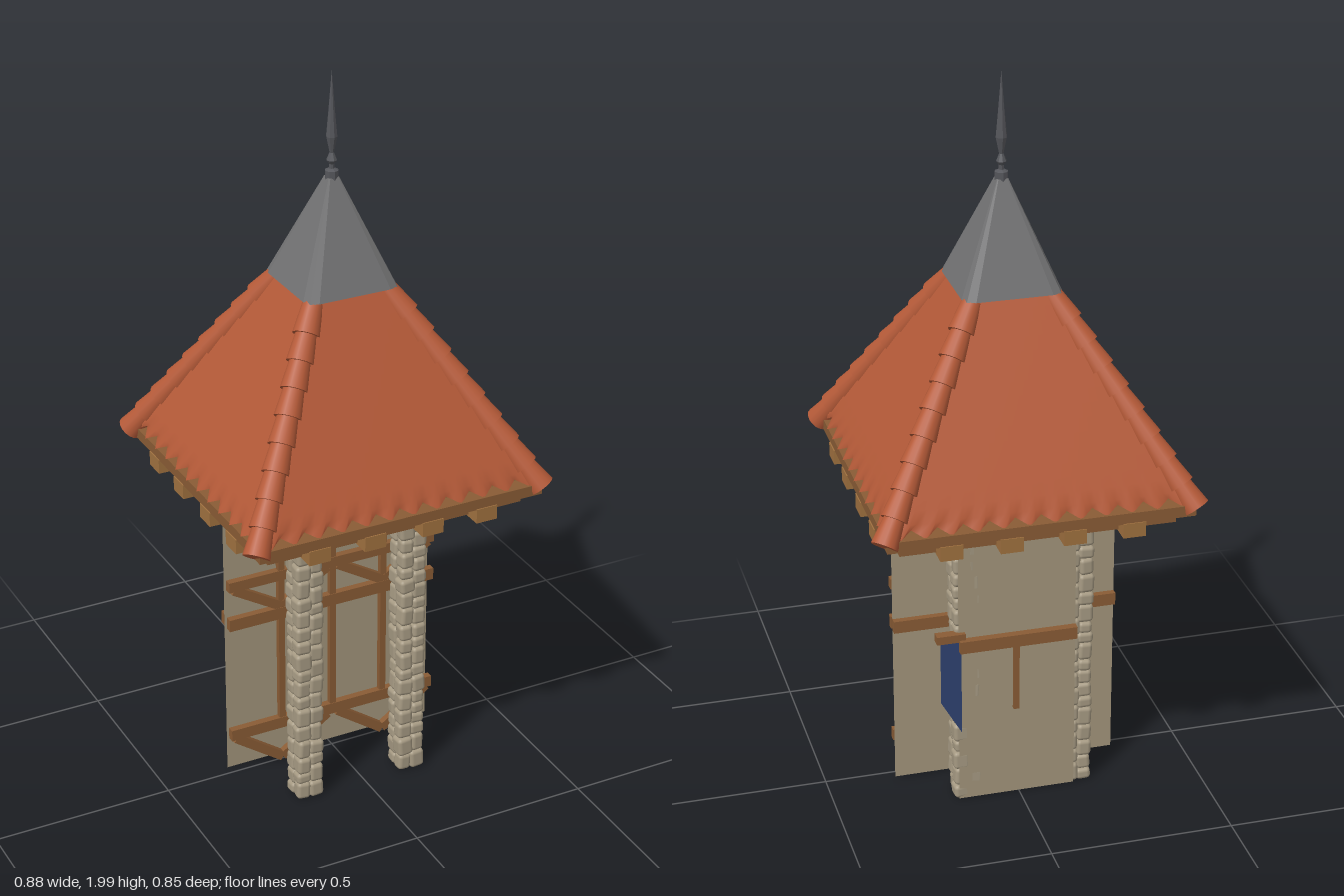
import * as THREE from 'three';
import { mergeGeometries } from 'three/addons/utils/BufferGeometryUtils.js';
import { RoundedBoxGeometry } from 'three/addons/geometries/RoundedBoxGeometry.js';

const material = (name, color, side = THREE.FrontSide) => {
  const m = new THREE.MeshStandardMaterial({ color, side });
  m.name = name;
  return m;
};
const lerp = THREE.MathUtils.lerp;

export function createModel() {
  const model = new THREE.Group();
  model.name = 'timberTower';
  const tile = material('terracotta', 0xb55a38, THREE.DoubleSide);
  const plaster = material('plaster', 0xa3967c, THREE.DoubleSide);
  const stone = material('stone', 0xa69a83);
  const wood = material('timber', 0x8a5c35);
  const paleWood = material('paleTimber', 0xa0713f);
  const slate = material('slate', 0x727273);
  const iron = material('iron', 0x55565b);
  const cloth = material('blueCloth', 0x2f4272, THREE.DoubleSide);

  let seed = 7;
  const rand = () => (seed = (seed * 16807) % 2147483647) / 2147483647;
  const add = (name, geo, mat, parent = model) => {
    const mesh = new THREE.Mesh(geo, mat);
    mesh.name = name;
    parent.add(mesh);
    return mesh;
  };
  const group = (name) => {
    const g = new THREE.Group();
    g.name = name;
    model.add(g);
    return g;
  };
  // Box given by its lower and upper corners
  const box = (name, x0, x1, y0, y1, z0, z1, mat, parent) => {
    const mesh = add(name, new THREE.BoxGeometry(x1 - x0, y1 - y0, z1 - z0), mat, parent);
    mesh.position.set((x0 + x1) / 2, (y0 + y1) / 2, (z0 + z1) / 2);
    return mesh;
  };

  // Thin plaster walls: wide middle wall and narrower back wall
  const wall = (name, x0, x1, z) =>
    add(name, new THREE.PlaneGeometry(x1 - x0, 0.9), plaster).position.set((x0 + x1) / 2, 0.45, z);
  wall('middleWall', -0.31, 0.31, -0.026);
  wall('backWall', -0.155, 0.167, -0.18);

  // Half-timbering standing just in front of the middle wall
  const frame = group('wallTimbers');
  for (const [name, y0, y1] of [['upperRail', 0.577, 0.607], ['middleRail', 0.457, 0.492], ['lowerRail', 0.107, 0.14]]) {
    box(name, -0.31, 0.31, y0, y1, -0.01, 0.01, wood, frame);
  }
  for (const x of [-0.155, 0, 0.155]) {
    box('post', x - 0.009, x + 0.009, 0.14, 0.88, -0.008, 0.008, wood, frame);
  }
  for (const [low, high] of [[0.495, 0.58], [0.01, 0.11]]) {
    for (const side of [-1, 1]) {
      for (const outer of [0.295, 0.015]) {
        const dx = (0.155 - outer) * side, dy = low - high;
        const brace = add('brace', new THREE.BoxGeometry(Math.hypot(dx, dy), 0.026, 0.018), wood, frame);
        brace.position.set((outer + 0.155) / 2 * side, (low + high) / 2, 0);
        brace.rotation.z = Math.atan(dy / dx);
      }
    }
  }
  // Rails on the rear faces of both walls
  box('middleWallRearRail', -0.31, 0.31, 0.46, 0.495, -0.045, -0.027, wood, frame);
  box('backRail', -0.155, 0.167, 0.462, 0.497, -0.203, -0.181, wood);

  // Hanging post, bracket and banner behind the back wall
  box('backPost', 0.002, 0.018, 0.265, 0.465, -0.192, -0.181, wood);
  box('bannerBracket', 0.15, 0.228, 0.492, 0.515, -0.192, -0.165, wood);
  const banner = new THREE.Shape([[0.16, 0.495], [0.217, 0.495], [0.217, 0.31], [0.16, 0.21]]
    .map(p => new THREE.Vector2(...p)));
  add('banner', new THREE.ShapeGeometry(banner), cloth).position.z = -0.184;

  // Four columns of piled stones
  for (const cx of [-0.168, 0.14]) {
    for (const cz of [0.172, -0.14]) {
      const stones = [];
      for (const sx of [-1, 1]) {
        for (const sz of [-1, 1]) {
          let y = 0;
          while (y < 0.85) {
            const h = Math.min(0.032 + rand() * 0.024, 0.872 - y);
            const w = 0.036 + rand() * 0.01, d = 0.036 + rand() * 0.01;
            const g = new RoundedBoxGeometry(w, h, d, 2, Math.min(0.011, h * 0.4));
            g.rotateZ((rand() - 0.5) * 0.16);
            g.rotateY((rand() - 0.5) * 0.25);
            g.translate(cx + sx * 0.018, y + h / 2, cz + sz * 0.018);
            stones.push(g);
            y += h;
          }
        }
      }
      add('stoneColumn', mergeGeometries(stones), stone);
    }
  }

  // Eave boards, plate ring and projecting joist ends
  const eaves = group('eaves');
  box('eaveDeck', -0.36, 0.36, 0.9, 0.95, -0.36, 0.36, paleWood, eaves);
  for (const s of [-1, 1]) {
    const ring = (name, half, width, y0, y1) => {
      const a = s < 0 ? -half : half - width, b = a + width;
      box(name, -half, half, y0, y1, a, b, wood, eaves);
      box(name, a, b, y0, y1, -half + width, half - width, wood, eaves);
    };
    ring('eaveBoard', 0.405, 0.06, 0.895, 0.925);
    ring('wallPlate', 0.365, 0.04, 0.863, 0.897);
    for (const p of [-0.24, -0.083, 0.083, 0.24]) {
      const a = s < 0 ? -0.408 : 0.3, b = a + 0.108;
      box('joistEnd', p - 0.03, p + 0.03, 0.857, 0.897, a, b, paleWood, eaves);
      box('joistEnd', a, b, 0.857, 0.897, p - 0.03, p + 0.03, paleWood, eaves);
    }
  }

  // Roof slopes with a pointed, scalloped eave
  const HX = 0.405, HZ = 0.397, TOP = 0.115, Y0 = 0.93, Y1 = 1.435;
  for (let k = 0; k < 4; k++) {
    const [hw, hd] = k % 2 ? [HZ, HX] : [HX, HZ];
    const g = new THREE.PlaneGeometry(2, 1, 48, 16);
    const p = g.attributes.position;
    for (let i = 0; i < p.count; i++) {
      const u = p.getX(i), t = p.getY(i) + 0.5;
      const wave = Math.abs(((u + 1) * 6) % 1 - 0.5) * 2;
      const notch = wave * Math.max(0, 1 - t * 14);
      p.setXYZ(i, u * lerp(hw, TOP, t), lerp(Y0, Y1, t) + 0.018 * notch - 0.008 * (1 - t),
        lerp(hd, TOP, t) - 0.022 * notch + 0.003 * (1 - t));
    }
    g.rotateY(k * Math.PI / 2);
    g.computeVertexNormals();
    add('roofSlope', g, tile);
  }

  // Overlapping ridge tiles along the four hips
  const up = new THREE.Vector3(0, 1, 0);
  for (const sx of [-1, 1]) {
    for (const sz of [-1, 1]) {
      const foot = new THREE.Vector3(0.407 * sx, 0.915, 0.391 * sz);
      const head = new THREE.Vector3(0.107 * sx, 1.415, 0.104 * sz);
      const dir = head.clone().sub(foot);
      const count = 9, step = dir.length() / count;
      const hip = group('hipTiles');
      for (let i = 0; i < count; i++) {
        const g = new THREE.CylinderGeometry(0.027, 0.036, step * 1.15, 16);
        const roll = add('hipTile', g, tile, hip);
        roll.position.copy(foot).addScaledVector(dir, (i + 0.5) / count);
        roll.quaternion.setFromUnitVectors(up, dir.clone().normalize());
      }
    }
  }

  // Slate cap: a cone squared off towards its base
  const cone = new THREE.CylinderGeometry(0.015, 0.132, 0.28, 48, 1);
  const cp = cone.attributes.position;
  for (let i = 0; i < cp.count; i++) {
    const x = cp.getX(i), z = cp.getZ(i), r = Math.hypot(x, z);
    if (r < 1e-6) continue;
    const f = Math.min(r / Math.max(Math.abs(x), Math.abs(z)), 1.33);
    cp.setXYZ(i, x * f, cp.getY(i), z * f);
  }
  const capGeo = cone.toNonIndexed();
  capGeo.computeVertexNormals();
  add('slateCap', capGeo, slate).position.y = 1.568;

  // Finial
  const profile = [[0.018, 1.685], [0.018, 1.725], [0.007, 1.73], [0.007, 1.742], [0.014, 1.752],
    [0.006, 1.772], [0.015, 1.815], [0.009, 1.88], [0, 1.99]].map(p => new THREE.Vector2(...p));
  const finial = new THREE.LatheGeometry(profile, 8).toNonIndexed();
  finial.computeVertexNormals();
  add('finial', finial, iron);

  return model;
}
